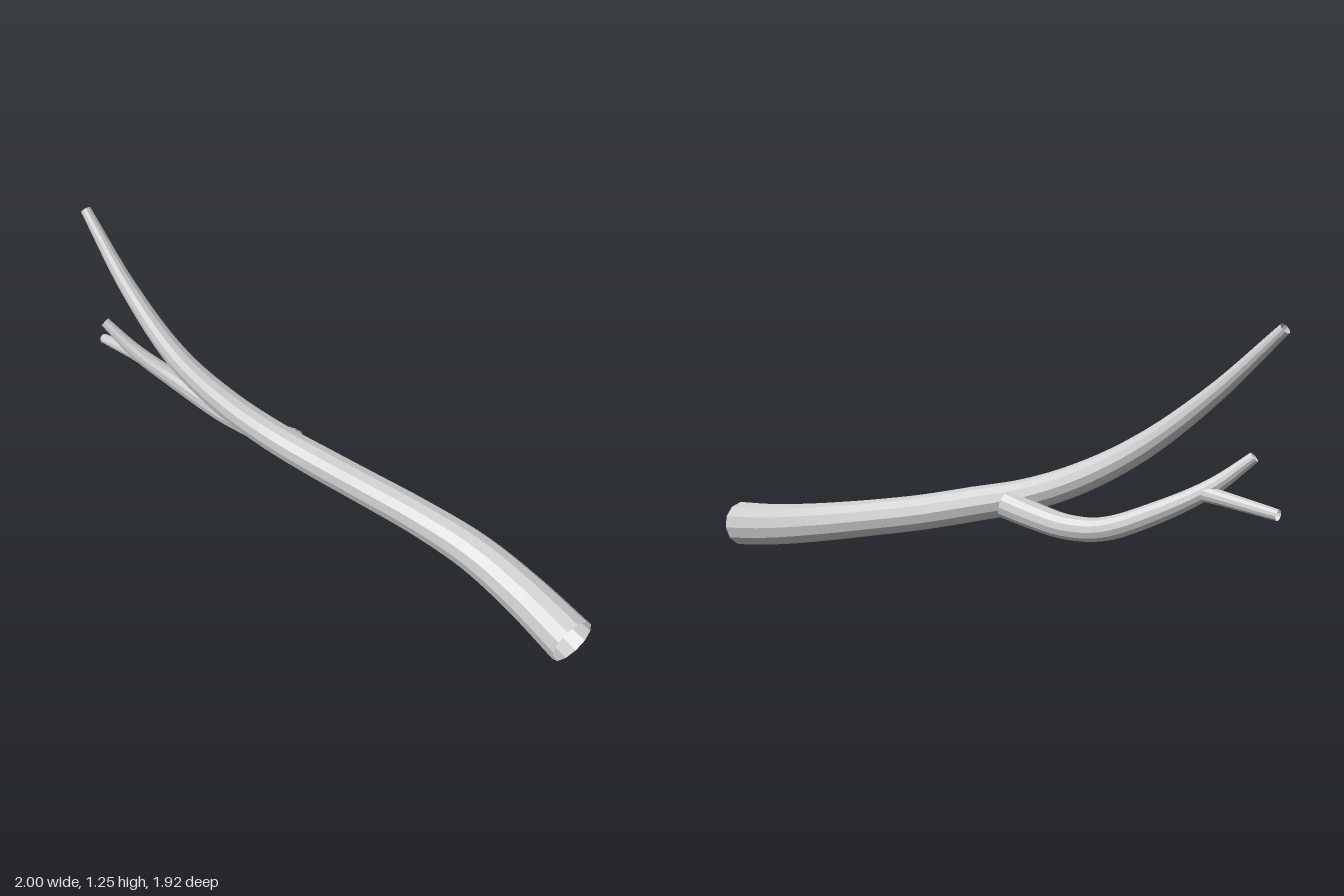
import * as THREE from 'three';

const SIDES = 12;

// Open, tapered tube through points of [x, y, z, radius]
function taperedLimb(name, points, segments, material) {
  const curve = new THREE.CatmullRomCurve3(points.map(([x, y, z]) => new THREE.Vector3(x, y, z)));
  const geometry = new THREE.TubeGeometry(curve, segments, 1, SIDES, false);
  const position = geometry.attributes.position;
  const centre = new THREE.Vector3();
  const vertex = new THREE.Vector3();
  for (let i = 0; i <= segments; i++) {
    const u = i / segments;
    curve.getPointAt(u, centre);
    // Radius is interpolated between the control points
    const t = curve.getUtoTmapping(u) * (points.length - 1);
    const k = Math.min(Math.floor(t), points.length - 2);
    const radius = THREE.MathUtils.lerp(points[k][3], points[k + 1][3], t - k);
    for (let j = 0; j <= SIDES; j++) {
      const n = i * (SIDES + 1) + j;
      vertex.fromBufferAttribute(position, n).sub(centre).multiplyScalar(radius).add(centre);
      position.setXYZ(n, vertex.x, vertex.y, vertex.z);
    }
  }
  geometry.computeVertexNormals();
  const mesh = new THREE.Mesh(geometry, material);
  mesh.name = name;
  return mesh;
}

export function createModel() {
  const bark = new THREE.MeshStandardMaterial({ color: 0xcccccc, flatShading: true, side: THREE.DoubleSide });
  bark.name = 'grey bark';

  const group = new THREE.Group();
  group.name = 'branch';

  // Main limb, from the thick cut end to the raised tip
  group.add(taperedLimb('mainLimb', [
    [0.912, 0.103, 0.9, 0.104],
    [0.77, 0.155, 0.665, 0.095],
    [0.6, 0.215, 0.445, 0.087],
    [0.4, 0.272, 0.265, 0.08],
    [0.2, 0.325, 0.115, 0.077],
    [0, 0.385, -0.02, 0.075],
    [-0.2, 0.45, -0.16, 0.07],
    [-0.4, 0.55, -0.295, 0.064],
    [-0.6, 0.702, -0.445, 0.054],
    [-0.8, 0.945, -0.66, 0.039],
    [-0.975, 1.23, -0.89, 0.024],
  ], 48, bark));

  // Side limb, dipping before it rises
  group.add(taperedLimb('sideLimb', [
    [-0.11, 0.412, -0.15, 0.062],
    [-0.2, 0.385, -0.265, 0.057],
    [-0.3, 0.366, -0.385, 0.053],
    [-0.42, 0.38, -0.495, 0.05],
    [-0.6, 0.468, -0.61, 0.045],
    [-0.79, 0.585, -0.705, 0.035],
    [-0.93, 0.715, -0.777, 0.023],
  ], 32, bark));

  // Straight twig near the end of the side limb
  group.add(taperedLimb('twig', [
    [-0.765, 0.56, -0.7, 0.035],
    [-0.955, 0.527, -0.952, 0.023],
  ], 4, bark));

  return group;
}
